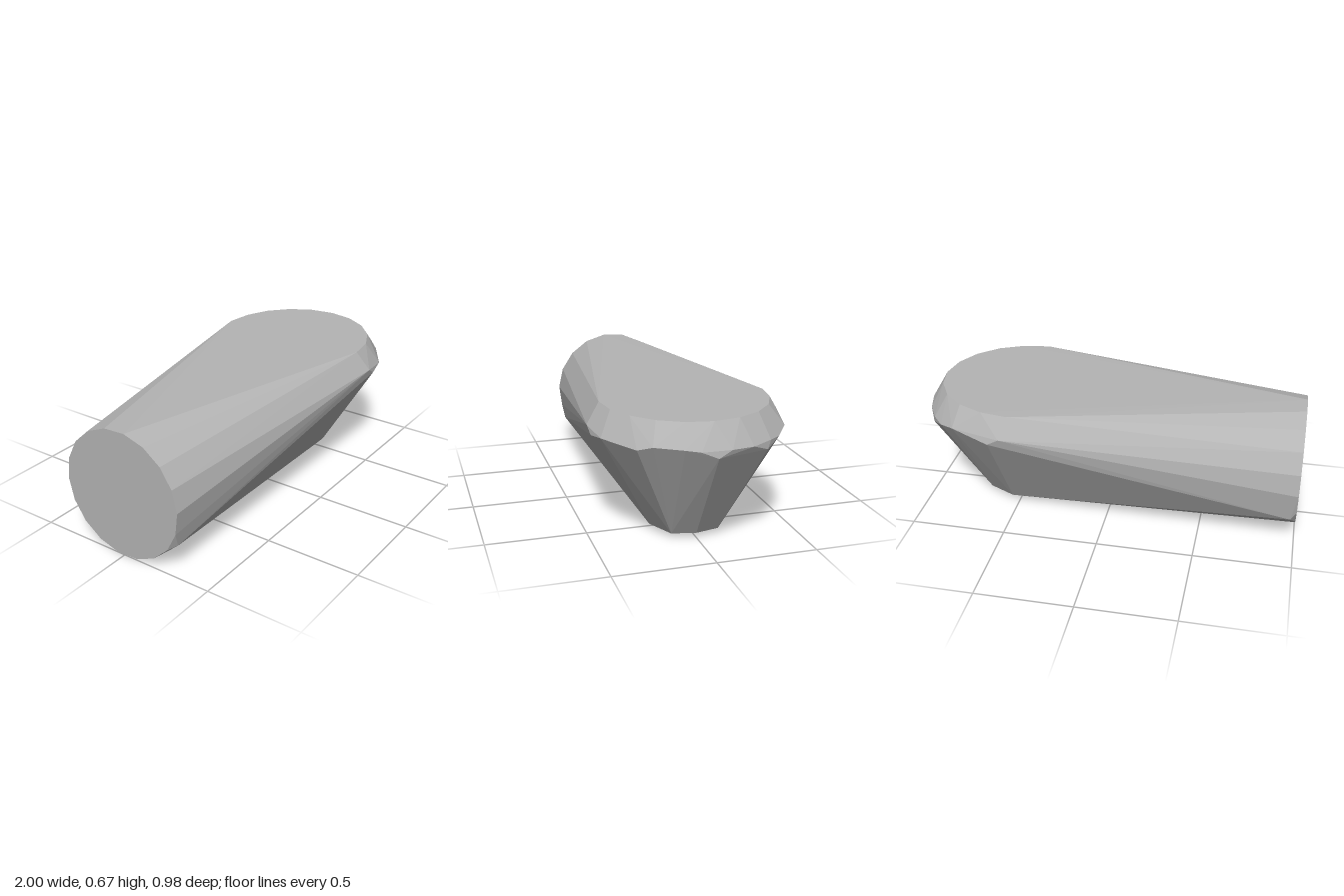
import * as THREE from 'three';
import { ConvexGeometry } from 'three/addons/geometries/ConvexGeometry.js';

export function createModel() {
  const grey = new THREE.MeshStandardMaterial({ color: 0xb4b4b4 });
  grey.name = 'grey';
  const points = [];
  const add = (x, y, z) => points.push(new THREE.Vector3(x, y, z));

  // round butt end
  for (let i = 0; i < 18; i++) {
    const a = THREE.MathUtils.degToRad(7 + i * 20);
    add(-1, 0.337 + 0.337 * Math.cos(a), 0.337 * Math.sin(a));
  }
  for (const s of [-1, 1]) add(-0.97, 0.16, s * 0.31);

  // half-round rim of the flat top
  for (let i = 0; i <= 10; i++) {
    const a = (i / 10 - 0.5) * Math.PI;
    add(0.47 + 0.46 * Math.cos(a), 0.66, 0.42 * Math.sin(a));
  }

  // uneven waist, widest part of the nose: [z, y]
  const waist = [
    [0.46, 0.54], [0.34, 0.532], [0.28, 0.555], [0.15, 0.55], [0.08, 0.54], [0, 0.505],
    [-0.065, 0.54], [-0.18, 0.535], [-0.265, 0.5], [-0.285, 0.54], [-0.35, 0.535], [-0.415, 0.558],
  ];
  for (const [z, y] of waist) add(0.515 + Math.sqrt(0.485 ** 2 - z * z), y, z);
  for (const s of [-1, 1]) {
    add(0.5, 0.56, s * 0.488);
    add(0.56, 0.525, s * 0.482);
  }

  // small foot under the nose
  for (const s of [-1, 1]) {
    add(0.54, 0.03, s * 0.19);
    add(0.68, 0.028, s * 0.12);
  }
  add(0.705, 0.027, 0);

  const body = new THREE.Mesh(new ConvexGeometry(points), grey);
  body.name = 'facetedBody';
  const group = new THREE.Group();
  group.name = 'taperedBlock';
  group.add(body);
  return group;
}
